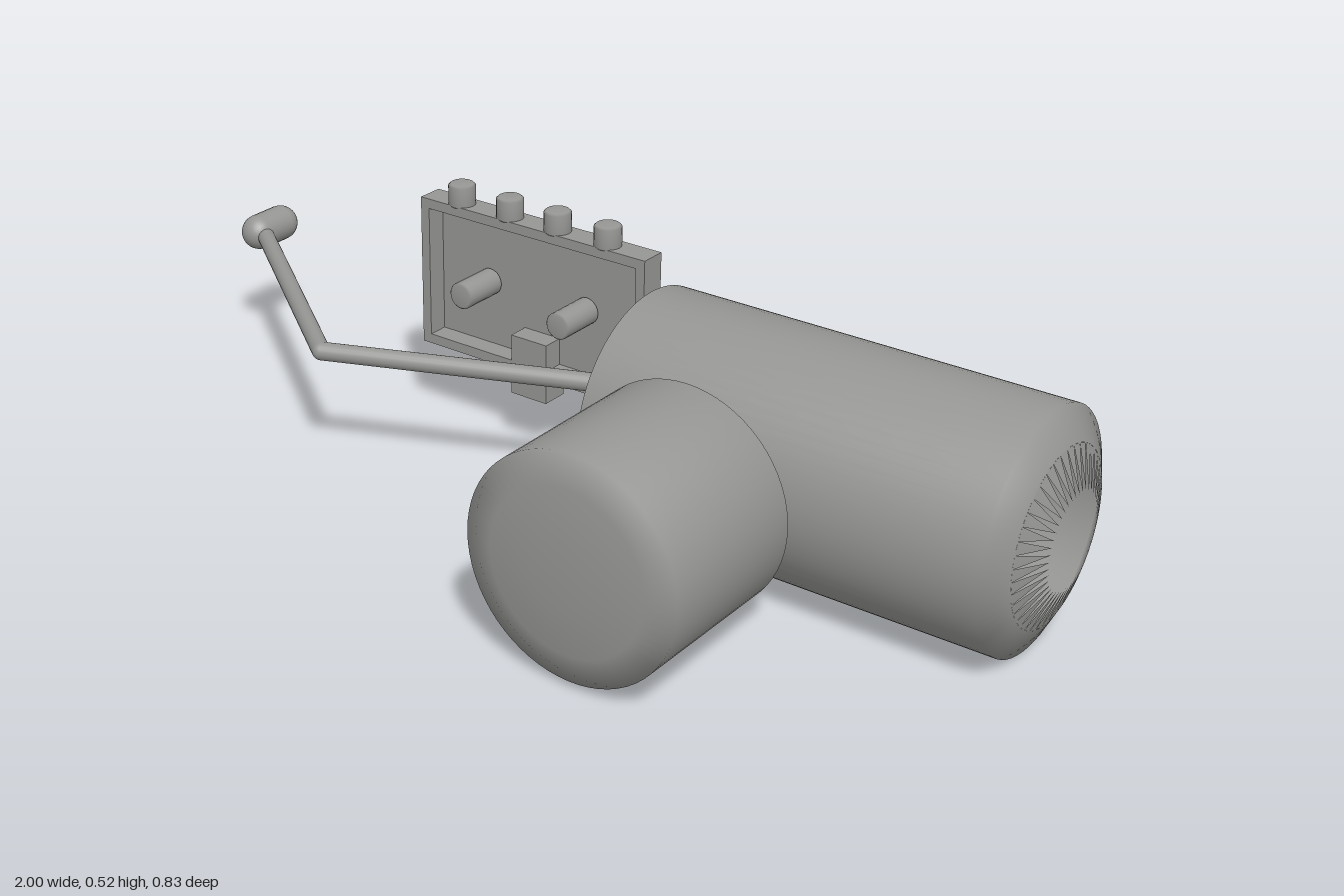
import * as THREE from 'three';

const grey = new THREE.MeshStandardMaterial({ color: 0x969694, side: THREE.DoubleSide });
grey.name = 'hull grey';

function add(parent, name, geometry, x = 0, y = 0, z = 0) {
  const mesh = new THREE.Mesh(geometry, grey);
  mesh.name = name;
  mesh.position.set(x, y, z);
  parent.add(mesh);
  return mesh;
}

// Solid of revolution from [radius, height] pairs
const lathe = (pairs, sides = 64) =>
  new THREE.LatheGeometry(pairs.map(([r, h]) => new THREE.Vector2(r, h)), sides);

// Small round knob with softened edges, centred along y
function knobGeometry(r, h) {
  const b = 0.004, t = h / 2;
  return lathe([[0, -t], [r - b, -t], [r, -t + b], [r, t - b], [r - b, t], [0, t]], 20);
}

// Ring of triangular teeth closing in on an opening that faces +x
function teethGeometry(count, outer, outerX, inner, innerX) {
  const pos = [], idx = [], step = (Math.PI * 2) / count;
  for (let i = 0; i < count; i++) {
    const a = i * step, m = a + step / 2;
    pos.push(outerX, outer * Math.cos(a), outer * Math.sin(a));
    pos.push(innerX, inner * Math.cos(m), inner * Math.sin(m));
    idx.push(i * 2, ((i + 1) % count) * 2, i * 2 + 1);
  }
  const g = new THREE.BufferGeometry();
  g.setAttribute('position', new THREE.Float32BufferAttribute(pos, 3));
  g.setIndex(idx);
  g.computeVertexNormals();
  return g;
}

// Round rod between two points
function rod(parent, name, a, b, r) {
  const dir = b.clone().sub(a);
  const mesh = add(parent, name, new THREE.CapsuleGeometry(r, dir.length(), 6, 20));
  mesh.position.copy(a).add(b).multiplyScalar(0.5);
  mesh.quaternion.setFromUnitVectors(new THREE.Vector3(0, 1, 0), dir.normalize());
}

export function createModel() {
  const model = new THREE.Group();
  model.name = 'module';
  const axisY = 0.228, axisZ = -0.187;

  // Main hull along x, with a toothed opening at its +x end
  const hull = lathe([
    [0, 0.06], [0.068, 0.06], [0.11, 0.09], [0.168, 0.108], [0.226, 0.14],
    [0.226, 0.94], [0.165, 0.97],
  ]);
  hull.rotateZ(-Math.PI / 2);
  add(model, 'mainHull', hull, 0, axisY, axisZ);
  add(model, 'hullTeeth', teethGeometry(42, 0.165, 0.97, 0.086, 0.998), 0, axisY, axisZ);

  // Side pod along z
  const pod = lathe([
    [0, 0], [0.06, 0.006], [0.105, 0.018], [0.165, 0.038], [0.213, 0.07],
    [0.213, 0.397], [0.155, 0.41], [0.07, 0.418], [0, 0.418],
  ]);
  pod.rotateX(Math.PI / 2);
  add(model, 'sidePod', pod, 0.39, axisY, 0);

  // Shallow tray panel, open to the front
  const panel = new THREE.Group();
  panel.name = 'trayPanel';
  model.add(panel);
  const cx = -0.183, cy = 0.325, w = 0.535, h = 0.31, d = 0.054, cz = -0.271, rim = 0.02;
  add(panel, 'trayBack', new THREE.BoxGeometry(w, h, 0.012), cx, cy, cz - d / 2 + 0.006);
  for (const s of [-1, 1]) {
    add(panel, 'trayRimLong', new THREE.BoxGeometry(w, rim, d), cx, cy + s * (h - rim) / 2, cz);
    add(panel, 'trayRimShort', new THREE.BoxGeometry(rim, h - 2 * rim, d), cx + s * (w - rim) / 2, cy, cz);
  }

  // Knobs along the top edge and on the tray floor
  for (const x of [-0.365, -0.247, -0.133, -0.016])
    add(panel, 'topKnob', knobGeometry(0.027, 0.046), x, 0.499, -0.267);
  for (const x of [-0.307, -0.073])
    add(panel, 'frontKnob', knobGeometry(0.027, 0.1), x, 0.325, -0.235).rotation.x = Math.PI / 2;

  // Block hanging below the tray
  add(panel, 'mountBlock', new THREE.BoxGeometry(0.085, 0.125, 0.058), -0.183, 0.183, cz);

  // Bent arm with a rounded foot
  const arm = new THREE.Group();
  arm.name = 'arm';
  model.add(arm);
  const root = new THREE.Vector3(0.13, 0.256, -0.187);
  const elbow = new THREE.Vector3(-0.455, 0.256, 0.056);
  const tip = new THREE.Vector3(-0.963, 0.256, -0.325);
  rod(arm, 'upperArm', root, elbow, 0.018);
  rod(arm, 'foreArm', elbow, tip, 0.018);
  const foot = add(arm, 'armFoot', new THREE.CapsuleGeometry(0.037, 0.066, 8, 24), -0.963, 0.257, -0.346);
  foot.rotation.x = Math.PI / 2;

  return model;
}
